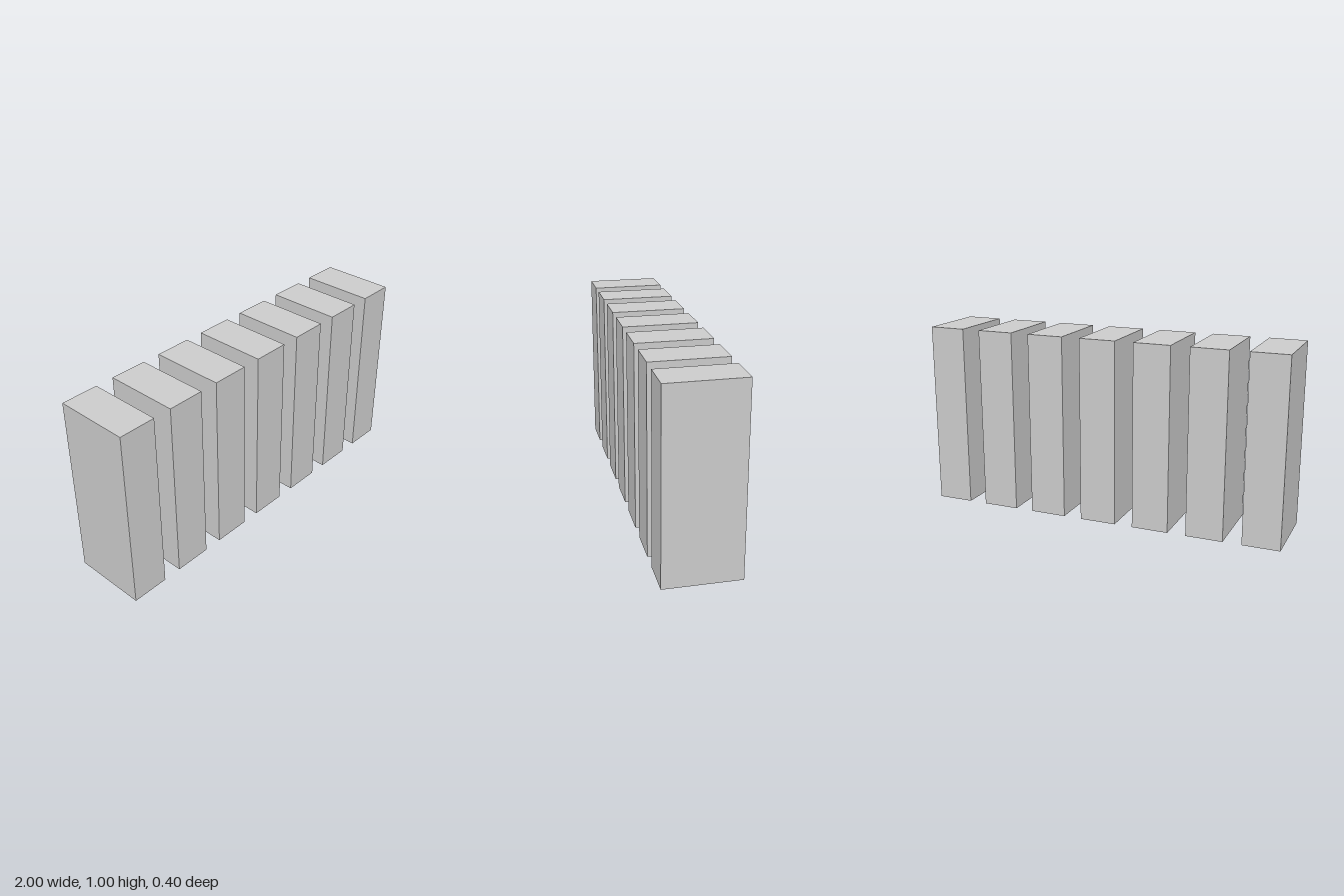
import * as THREE from 'three';

const COUNT = 7;
const SPACING = 0.3;
const WIDTH = 0.2, HEIGHT = 1, DEPTH = 0.4;

export function createModel() {
  const model = new THREE.Group();
  model.name = 'slabRow';

  const material = new THREE.MeshStandardMaterial({ color: 0xcccccc });
  const geometry = new THREE.BoxGeometry(WIDTH, HEIGHT, DEPTH);

  // Evenly spaced upright slabs, centred on x = 0 and standing on the ground
  for (let i = 0; i < COUNT; i++) {
    const slab = new THREE.Mesh(geometry, material);
    slab.name = `slab${i + 1}`;
    slab.position.set((i - (COUNT - 1) / 2) * SPACING, HEIGHT / 2, 0);
    model.add(slab);
  }

  return model;
}
